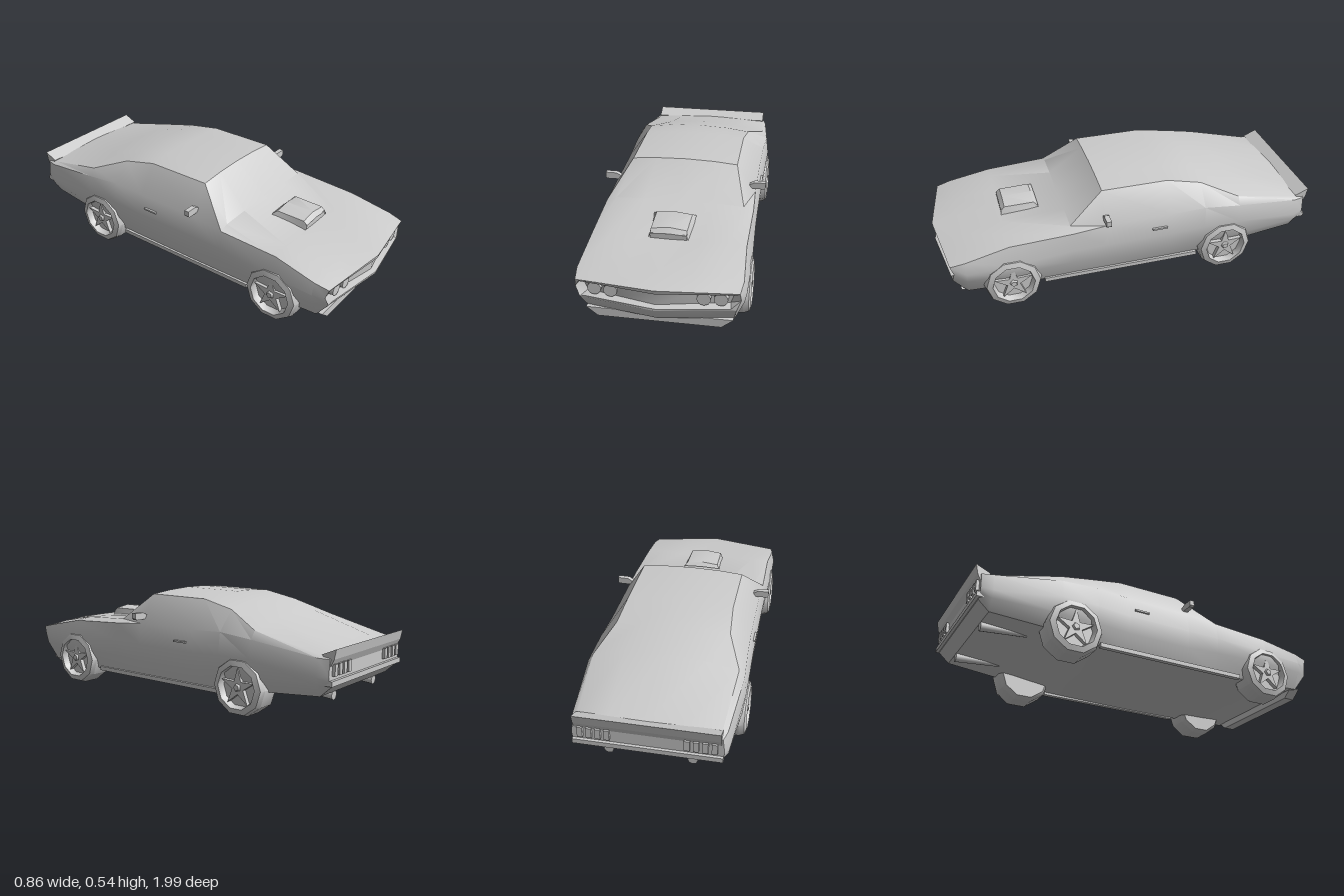
import * as THREE from 'three';
import { toCreasedNormals } from 'three/addons/utils/BufferGeometryUtils.js';

const mat = new THREE.MeshStandardMaterial({ color: 0xcccccc, side: THREE.DoubleSide });

// Skin a grid of [x, y, z] rows; loop joins the last column to the first
function skin(rows, loop, capEnd) {
  const n = rows[0].length, idx = [];
  for (let i = 0; i < rows.length - 1; i++) {
    for (let j = 0; j < (loop ? n : n - 1); j++) {
      const k = (j + 1) % n, p = i * n + j, q = i * n + k;
      idx.push(p, p + n, q, q, p + n, q + n);
    }
  }
  const pts = rows.flat();
  if (capEnd) {
    const o = (rows.length - 1) * n, last = rows[rows.length - 1];
    const c = pts.push([0, (last[0][1] + last[7][1]) / 2, last[0][2]]) - 1;
    for (let j = 0; j < n; j++) idx.push(c, o + (j + 1) % n, o + j);
  }
  const g = new THREE.BufferGeometry();
  g.setAttribute('position', new THREE.Float32BufferAttribute(pts.flat(), 3));
  g.setIndex(idx);
  return toCreasedNormals(g, 0.6);
}

function add(parent, name, geo, x = 0, y = 0, z = 0) {
  const m = new THREE.Mesh(geo, mat);
  m.name = name;
  m.position.set(x, y, z);
  parent.add(m);
  return m;
}

// Flat outline in x/y, extruded along z
function extrude(points, depth) {
  const s = new THREE.Shape(points.map(([x, y]) => new THREE.Vector2(x, y)));
  return new THREE.ExtrudeGeometry(s, { depth, bevelEnabled: false });
}

// Body ring: mirror the right half, from floor centre up to roof centre
const ring = half => half.concat(half.slice(1, -1).reverse().map(([x, y, z]) => [-x, y, z]));

function bodyGeometry() {
  const nose = [[0, .115, .935], [.345, .115, .88], [.36, .2, .94], [.38, .25, .93],
    [.375, .295, .945], [.28, .299, .959], [.1875, .3025, .9725], [0, .31, 1]];
  // z, floor y, floor x, crease x y, flank x y, shoulder x y, roof edge x y, top y
  const sections = [
    [.87, .11, .35, .39, .2, .4, .25, .385, .312, .28, .325, .333],
    [.65, .1, .35, .398, .2, .403, .26, .375, .358, .28, .368, .358],
    [.33, .095, .35, .385, .2, .394, .28, .38, .375, .33, .392, .4],
    [.15, .095, .35, .385, .19, .392, .28, .375, .388, .275, .537, .552],
    [-.2, .1, .35, .385, .19, .392, .28, .375, .392, .275, .537, .552],
    [-.38, .105, .35, .39, .2, .397, .29, .38, .4, .288, .5, .523],
    [-.57, .13, .35, .392, .2, .4, .29, .388, .385, .36, .425, .47],
    [-.91, .155, .33, .365, .21, .372, .25, .36, .337, .336, .347, .362],
    [-.965, .205, .33, .35, .23, .354, .26, .346, .335, .33, .343, .352],
  ];
  const rows = sections.map(([z, fy, fx, cx, cy, dx, dy, ex, ey, rx, ry, top]) => ring([
    [0, fy, z], [fx, fy, z], [cx, cy, z], [dx, dy, z], [ex, ey, z], [rx, ry, z],
    [rx * .55, top - .3 * (top - ry), z], [0, top, z]]));
  return skin([ring(nose), ...rows], true, true);
}

// Nose: lip, recessed grille and bumper, bowed forward at the centre
function noseGeometry() {
  const lip = [.375, .295, .945], side = [.38, .25, .93], low = [.36, .2, .94], foot = [.345, .115, .88];
  // half width, centre y, edge y, centre z, edge z, corner
  const rows = [
    [.375, .31, .295, 1, .945, lip],
    [.36, .29, .285, .996, .942, lip],
    [.352, .286, .28, .975, .905, side],
    [.33, .215, .215, .97, .9, side],
    [.335, .21, .21, .997, .945, low],
    [.36, .2, .2, .997, .94, low],
    [.345, .115, .115, .935, .88, foot],
  ];
  return skin(rows.map(([w, yc, ye, zc, ze, [ex, ey, ez]]) => [
    [-ex, ey, ez],
    ...[-1, -.5, 0, .5, 1].map(t => {
      const a = Math.abs(t);
      return [t * w, yc + (ye - yc) * a, zc + (ze - zc) * a];
    }),
    [ex, ey, ez]]), false, false);
}

function wheel(name, side, z) {
  const g = new THREE.Group();
  g.name = name;
  const profile = [[0, -.075], [.13, -.075], [.147, -.05], [.147, .04], [.137, .066], [.108, .075], [.098, .04], [0, .04]];
  const tyre = new THREE.LatheGeometry(profile.map(p => new THREE.Vector2(...p)), 10);
  add(g, 'tyre', toCreasedNormals(tyre.rotateZ(-Math.PI / 2), .7));
  // Five-pointed spokes and hub
  const star = Array.from({ length: 10 }, (_, i) => {
    const a = i * Math.PI / 5 + Math.PI / 2, r = i % 2 ? .034 : .1;
    return [Math.cos(a) * r, Math.sin(a) * r];
  });
  add(g, 'spokes', extrude(star, .022).rotateY(Math.PI / 2), .04);
  add(g, 'hub', new THREE.CylinderGeometry(.016, .022, .012, 5).rotateZ(-Math.PI / 2), .067);
  g.position.set(side * .337, .147, z);
  if (side < 0) g.rotation.y = Math.PI;
  return g;
}

export function createModel() {
  const car = new THREE.Group();
  car.name = 'car';
  add(car, 'body', bodyGeometry());
  add(car, 'nose', noseGeometry());
  add(car, 'airDam', extrude([[-.29, .073], [.29, .073], [.345, .118], [-.345, .118]], .06), 0, 0, .845);

  // Hood scoop with a ridge along the middle
  const scoop = [[.645, .1, .35, .088, .384, .39], [.625, .1, .35, .088, .402, .414],
    [.47, .11, .37, .09, .405, .415], [.45, .11, .37, .105, .39, .394]];
  add(car, 'hoodScoop', skin(scoop.map(([z, bx, by, tx, ty, cy]) =>
    [[bx, by, z], [tx, ty, z], [0, cy, z], [-tx, ty, z], [-bx, by, z]]), true, false));
  add(car, 'scoopMouth', new THREE.BoxGeometry(.18, .035, .01), 0, .37, .638);

  // Rear spoiler and bumper
  const lipShape = extrude([[.92, .352], [.992, .383], [.982, .335], [.965, .3]], .68);
  add(car, 'spoiler', lipShape.rotateY(Math.PI / 2).translate(-.34, 0, 0), 0, 0, 0);
  add(car, 'rearBumper', new THREE.BoxGeometry(.7, .025, .04), 0, .225, -.96);

  for (const s of [1, -1]) {
    const side = s > 0 ? 'left' : 'right';
    car.add(wheel(side + 'FrontWheel', s, .645), wheel(side + 'RearWheel', s, -.5));

    for (const [x, z] of [[.213, .925], [.29, .918]])
      add(car, side + 'Headlight', new THREE.CylinderGeometry(.032, .032, .04, 16).rotateX(Math.PI / 2), s * x, .25, z);
    for (let i = 0; i < 4; i++)
      add(car, side + 'TailLight', new THREE.BoxGeometry(.026, .055, .02), s * (.185 + i * .042), .283, -.97);

    add(car, side + 'Sill', new THREE.BoxGeometry(.025, .022, .83), s * .355, .101, .065);
    add(car, side + 'DoorHandle', new THREE.BoxGeometry(.015, .009, .08), s * .388, .326, -.13);

    // Mirror housing, tapering down to its stalk
    const mirror = [[.33, .425], [.362, .412], [.42, .412], [.428, .42], [.428, .448], [.37, .447]];
    const m = add(car, side + 'Mirror', extrude(mirror.map(([x, y]) => [x * s, y]), .026), 0, 0, .13);
    m.rotation.y = s * -.02;

    // Exhaust pipe, widening to the rear
    const pipe = add(car, side + 'Exhaust', new THREE.CylinderGeometry(.012, .024, .24, 8).rotateX(Math.PI / 2), s * .2, .142, -.79);
    pipe.rotation.x = -.04;
  }
  return car;
}
